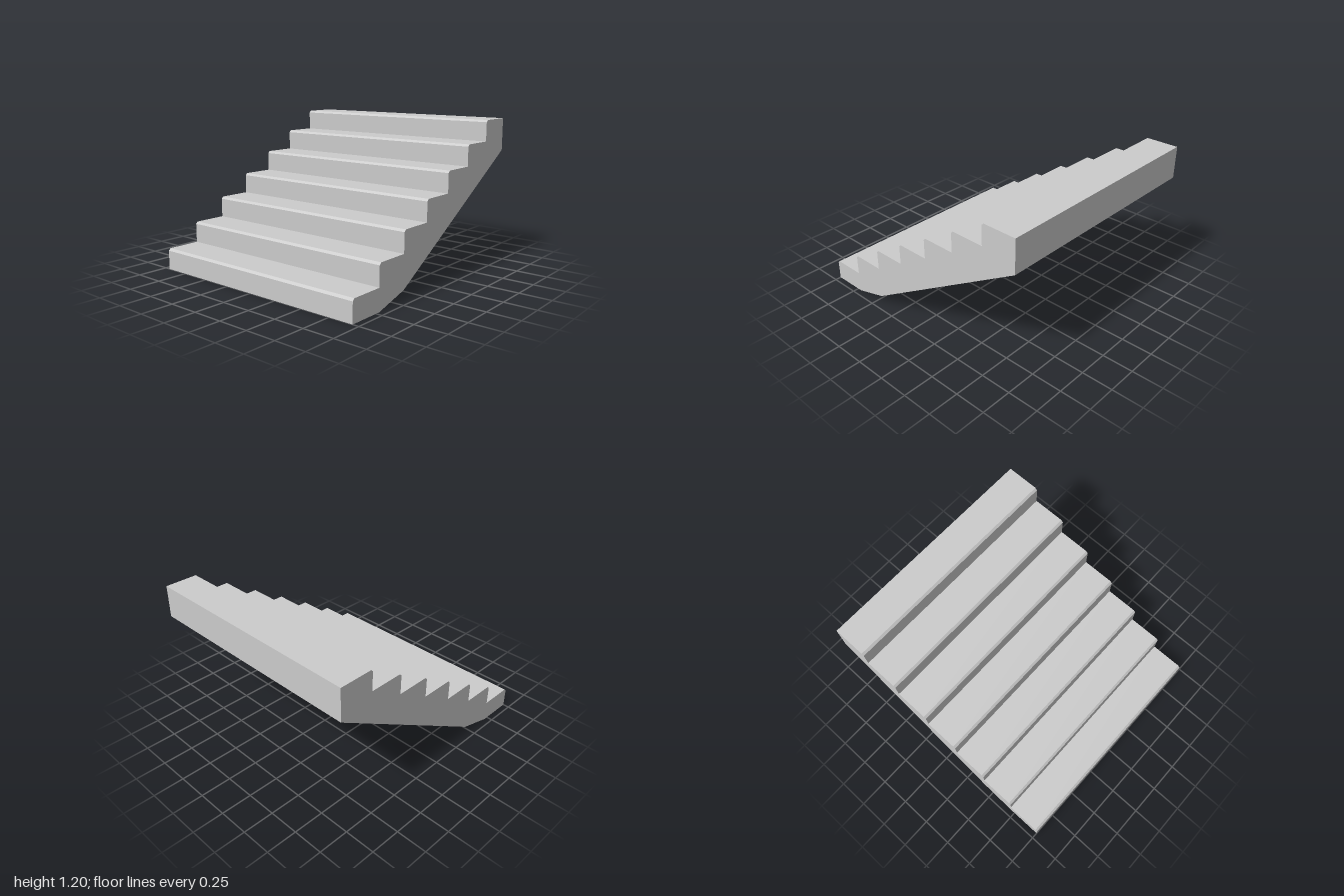
import * as THREE from 'three';

const STEPS = 7;
const WIDTH = 1.9;
const RUN = 2 / STEPS;
const RISE = 1.2 / STEPS;
const CHAMFER = 0.017;

export function createModel() {
  const group = new THREE.Group();
  group.name = 'staircase';

  // Side profile: shape x is the model's z, shape y is height
  const profile = new THREE.Shape();
  profile.moveTo(1, 0);

  // Risers and treads, each with a chamfered nosing
  for (let i = 0; i < STEPS; i++) {
    const front = 1 - i * RUN;
    const top = (i + 1) * RISE;
    profile.lineTo(front, top - CHAMFER);
    profile.lineTo(front - CHAMFER, top);
    profile.lineTo(front - RUN, top);
  }

  // Back edge and sloping underside
  profile.lineTo(-1, 0.935);
  profile.lineTo(1 - 2 * RUN, 0.08);
  profile.lineTo(1 - RUN, 0);
  profile.closePath();

  // Sweep the profile across the width
  const geometry = new THREE.ExtrudeGeometry(profile, { depth: WIDTH, bevelEnabled: false });
  geometry.translate(0, 0, -WIDTH / 2);
  geometry.rotateY(-Math.PI / 2);

  const flight = new THREE.Mesh(
    geometry,
    new THREE.MeshStandardMaterial({ color: 0xcccccc, flatShading: true })
  );
  flight.name = 'stairFlight';
  group.add(flight);
  return group;
}
